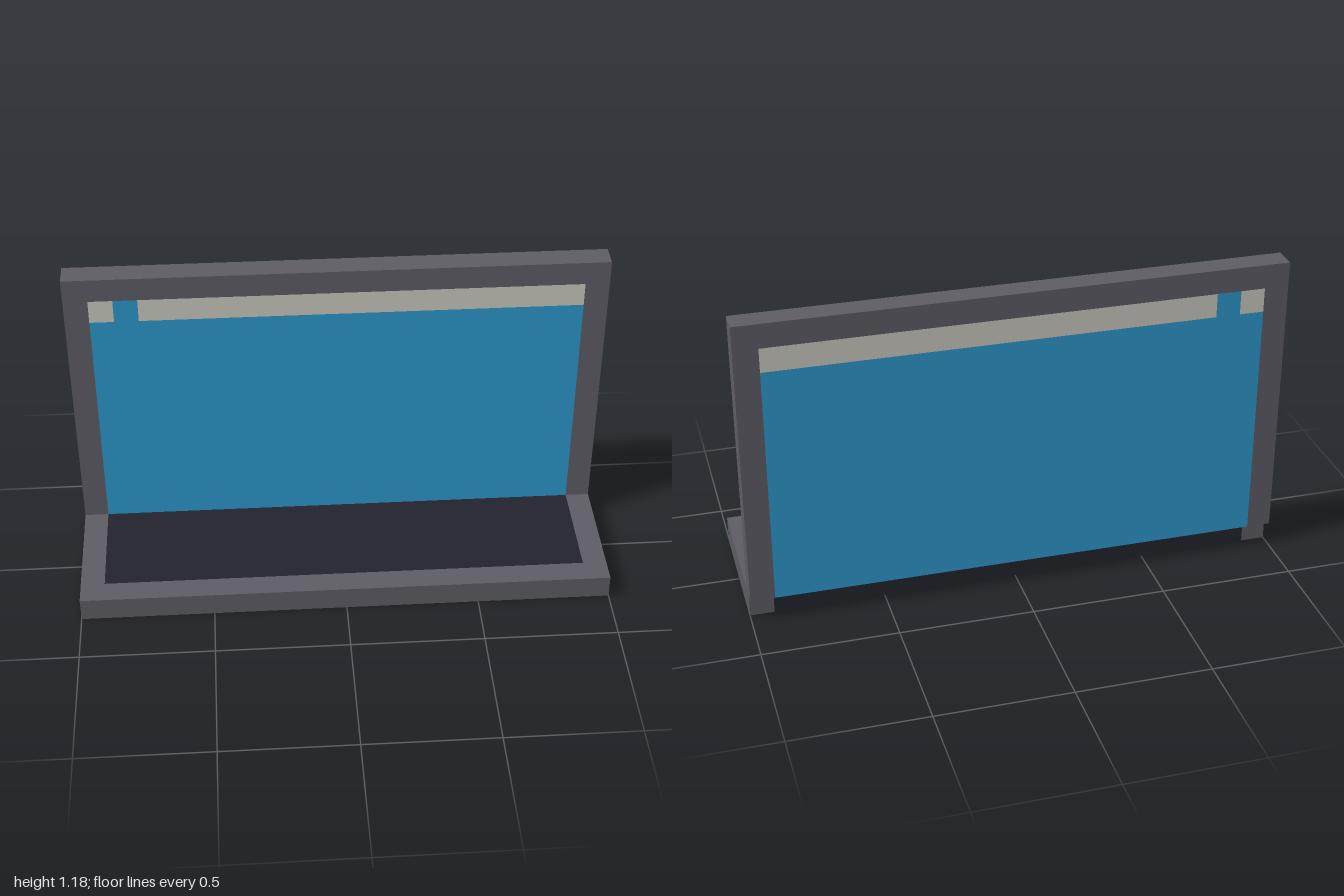
import * as THREE from 'three';

const material = (name, color) => {
  const m = new THREE.MeshStandardMaterial({ color });
  m.name = name;
  return m;
};

export function createModel() {
  const casing = material('casing grey', 0x5d5c65);
  const keys = material('keyboard dark', 0x22222d);
  const blue = material('screen blue', 0x2c97cb);
  const pale = material('toolbar pale grey', 0xc9c7be);

  // Block given by its extents on each axis
  const block = (parent, name, mat, [x0, x1], [y0, y1], [z0, z1]) => {
    const mesh = new THREE.Mesh(new THREE.BoxGeometry(x1 - x0, y1 - y0, z1 - z0), mat);
    mesh.position.set((x0 + x1) / 2, (y0 + y1) / 2, (z0 + z1) / 2);
    mesh.name = name;
    parent.add(mesh);
  };

  const model = new THREE.Group();
  model.name = 'laptop';
  const inner = 0.91;

  // Base: front bar and side bars around the keyboard slab
  const base = new THREE.Group();
  base.name = 'base';
  const baseY = [0, 0.091];
  block(base, 'baseFront', casing, [-1, 1], baseY, [0.205, 0.296]);
  block(base, 'baseLeft', casing, [inner, 1], baseY, [-0.25, 0.205]);
  block(base, 'baseRight', casing, [-1, -inner], baseY, [-0.25, 0.205]);
  block(base, 'keyboard', keys, [-inner, inner], baseY, [-0.25, 0.205]);

  // Lid: top and side bars around the display, which shows on both faces
  const lid = new THREE.Group();
  lid.name = 'lid';
  const lidZ = [-0.296, -0.205];
  const toolbarY = [1.0, 1.091];
  block(lid, 'lidTop', casing, [-1, 1], [1.091, 1.182], lidZ);
  block(lid, 'lidLeft', casing, [inner, 1], [0.091, 1.091], lidZ);
  block(lid, 'lidRight', casing, [-1, -inner], [0.091, 1.091], lidZ);
  block(lid, 'screen', blue, [-inner, inner], [0.091, 1.0], lidZ);

  // Toolbar with one blue tab
  block(lid, 'toolbarEnd', pale, [-inner, -0.82], toolbarY, lidZ);
  block(lid, 'toolbarTab', blue, [-0.82, -0.73], toolbarY, lidZ);
  block(lid, 'toolbar', pale, [-0.73, inner], toolbarY, lidZ);

  model.add(base, lid);
  return model;
}
